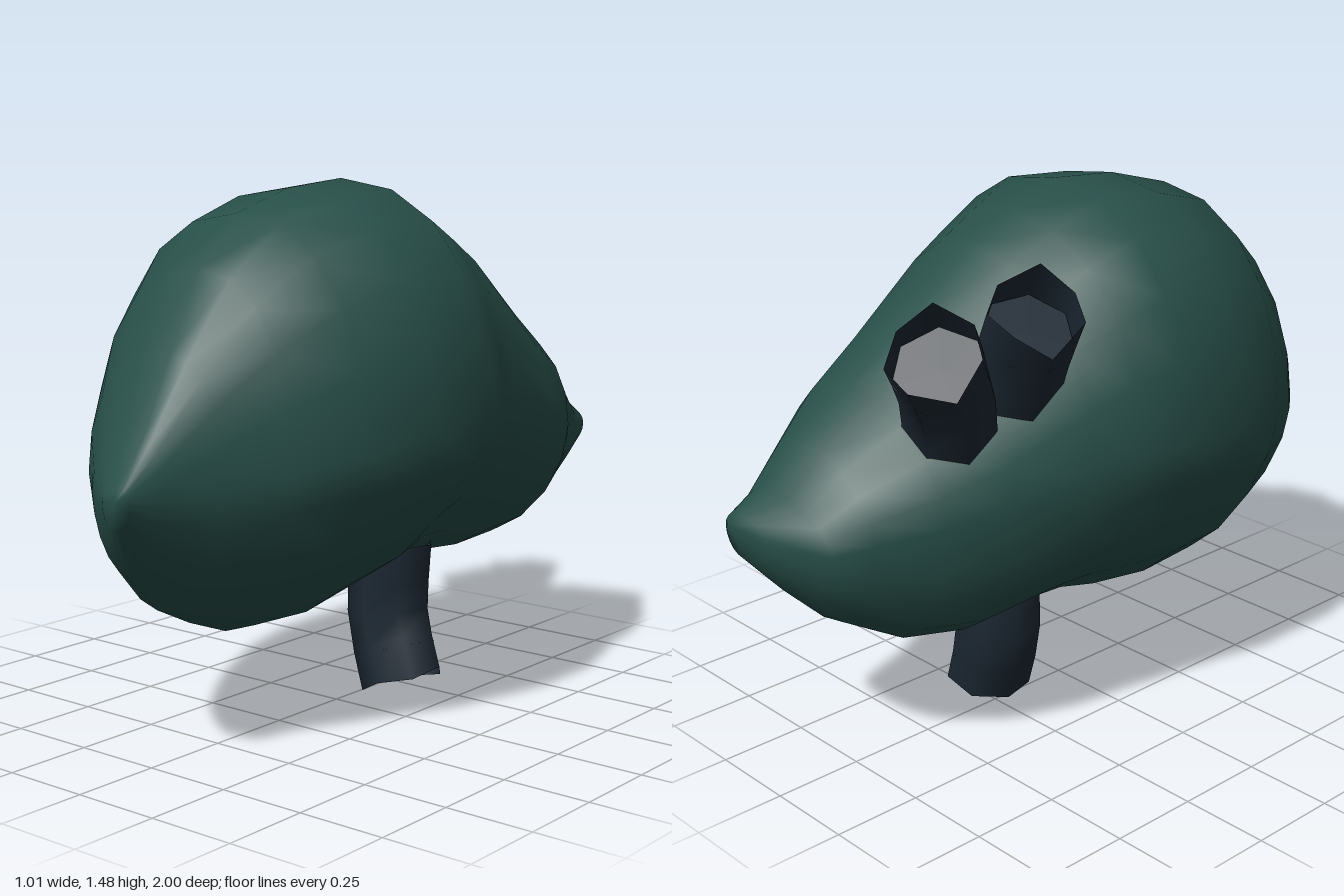
import * as THREE from 'three';

const green = new THREE.MeshStandardMaterial({ color: 0x284f49 });
green.name = 'deepGreen';
const navy = new THREE.MeshStandardMaterial({ color: 0x1c2833, side: THREE.DoubleSide });
navy.name = 'darkNavy';

// Body cross-sections: z, left x, right x, bottom y, top y, widest y, bottom x, top x
const sections = [
  [0.97, 0.07, 0.165, 0.69, 0.80, 0.76, 0.11, 0.14],
  [0.86, -0.08, 0.18, 0.55, 0.90, 0.75, 0.04, 0.10],
  [0.72, -0.24, 0.23, 0.43, 1.09, 0.76, 0.00, 0.06],
  [0.57, -0.36, 0.33, 0.36, 1.29, 0.79, -0.03, 0.02],
  [0.41, -0.45, 0.43, 0.30, 1.42, 0.83, -0.05, 0.0],
  [0.20, -0.51, 0.50, 0.29, 1.48, 0.87, -0.06, 0.0],
  [-0.02, -0.51, 0.50, 0.33, 1.50, 0.88, -0.06, 0.0],
  [-0.15, -0.47, 0.46, 0.37, 1.43, 0.87, -0.06, 0.02],
  [-0.28, -0.43, 0.415, 0.38, 1.36, 0.85, -0.06, 0.04],
  [-0.50, -0.36, 0.39, 0.37, 1.165, 0.80, -0.06, 0.07],
  [-0.67, -0.30, 0.34, 0.39, 1.05, 0.77, -0.03, 0.08],
  [-0.82, -0.21, 0.25, 0.47, 0.94, 0.74, 0.02, 0.08],
  [-0.91, -0.15, 0.22, 0.56, 0.83, 0.72, 0.06, 0.09],
  [-0.98, 0.02, 0.20, 0.65, 0.77, 0.72, 0.13, 0.13],
];

// Roundness exponents along z: lower left, lower right, upper left, upper right
const roundness = [
  [0.97, 1, 1.1, 1, 1],
  [0.57, 1.3, 1.3, 0.93, 0.93],
  [0.11, 1.4, 1.35, 0.88, 0.88],
  [-0.15, 1.15, 1.38, 0.95, 0.9],
  [-0.50, 0.9, 1.15, 1.12, 0.95],
  [-0.98, 1, 1, 1, 1],
];

function roundnessAt(z, quarter) {
  const i = Math.max(1, roundness.findIndex((r) => r[0] <= z));
  const a = roundness[i - 1], b = roundness[i];
  return THREE.MathUtils.mapLinear(z, a[0], b[0], a[quarter], b[quarter]);
}

function bodyGeometry() {
  const n = 20, pos = [], idx = [];
  for (const [z, xl, xr, yb, yt, cy, xb, xt] of sections) {
    for (let j = 0; j < n; j++) {
      const a = (j / n) * Math.PI * 2, c = Math.cos(a), s = Math.sin(a);
      const low = s < -1e-6, side = c >= 0 ? xr : xl;
      const p = roundnessAt(z, (low ? 1 : 3) + (c >= 0 ? 1 : 0));
      const mid = low ? xb : xt, end = low ? yb : yt;
      pos.push(mid + (side - mid) * Math.abs(c) ** p, cy + (end - cy) * Math.abs(s) ** p, z);
    }
  }
  // Close both ends with a single tip
  const front = pos.length / 3, back = front + 1, last = (sections.length - 1) * n;
  pos.push(0.14, 0.77, 1, 0.16, 0.74, -1);
  for (let j = 0; j < n; j++) {
    const k = (j + 1) % n;
    for (let i = 0; i < last; i += n) {
      idx.push(i + j, i + n + j, i + k, i + k, i + n + j, i + n + k);
    }
    idx.push(front, j, k, back, last + k, last + j);
  }
  const g = new THREE.BufferGeometry();
  g.setAttribute('position', new THREE.Float32BufferAttribute(pos, 3));
  g.setIndex(idx);
  g.computeVertexNormals();
  return g;
}

// Hollow stub with a ragged open end and a recessed floor
function makeStub(name, points, radius, jag) {
  const group = new THREE.Group();
  group.name = name;
  const sides = 7, steps = 4;
  const curve = new THREE.CatmullRomCurve3(points.map((p) => new THREE.Vector3(...p)));
  const g = new THREE.TubeGeometry(curve, steps, radius, sides, false);
  const dir = curve.getTangent(1), pos = g.attributes.position, v = new THREE.Vector3();
  for (let j = 0; j <= sides; j++) {
    const i = steps * (sides + 1) + j;
    v.fromBufferAttribute(pos, i).addScaledVector(dir, jag * Math.sin((j % sides) * 2.4));
    pos.setXYZ(i, v.x, v.y, v.z);
  }
  const wall = new THREE.Mesh(g, navy);
  wall.name = name + 'Wall';
  const floor = new THREE.Mesh(new THREE.CircleGeometry(radius * 0.98, sides), navy);
  floor.name = name + 'Floor';
  floor.position.copy(curve.getPoint(1)).addScaledVector(dir, -0.09);
  floor.quaternion.setFromUnitVectors(new THREE.Vector3(0, 0, 1), dir);
  group.add(wall, floor);
  return group;
}

export function createModel() {
  const model = new THREE.Group();
  model.name = 'lobedOrgan';
  const body = new THREE.Mesh(bodyGeometry(), green);
  body.name = 'body';
  model.add(
    body,
    makeStub('lowerStub', [[0.04, 0.46, -0.21], [0.03, 0.24, -0.21], [0.095, 0.055, -0.19]], 0.122, 0.012),
    makeStub('upperFrontStub', [[-0.21, 1.02, -0.37], [-0.29, 1.17, -0.40], [-0.385, 1.305, -0.44]], 0.122, 0.035),
    makeStub('upperRearStub', [[-0.16, 0.93, -0.53], [-0.24, 1.09, -0.60], [-0.345, 1.25, -0.73]], 0.122, 0.035),
  );
  return model;
}
